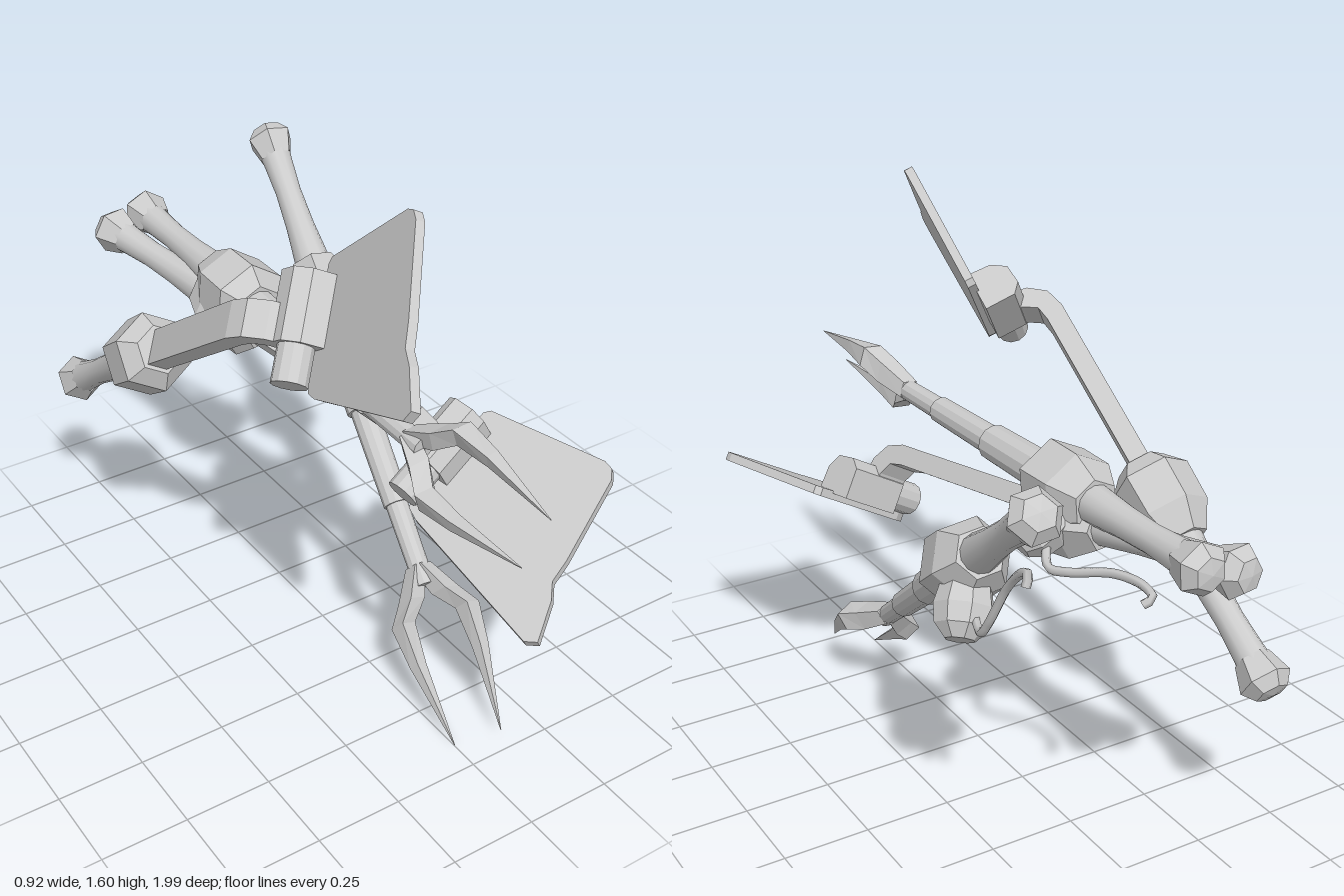
import * as THREE from 'three';

const smooth = new THREE.MeshStandardMaterial({ color: 0xcccccc, side: THREE.DoubleSide });
const flat = new THREE.MeshStandardMaterial({ color: 0xcccccc, flatShading: true, side: THREE.DoubleSide });
const V = (x, y, z) => new THREE.Vector3(x, y, z);

function add(group, name, geometry, material = flat) {
  const mesh = new THREE.Mesh(geometry, material);
  mesh.name = name;
  group.add(mesh);
  return mesh;
}

// Solid of revolution about the tool axis from [radius, height] pairs
const turned = (profile, sides) =>
  new THREE.LatheGeometry(profile.map(([r, y]) => new THREE.Vector2(r, y)), sides);

// Every tool is built along local +y with its hub at the origin
function makeGrip(group) {
  add(group, 'handle', turned([[0.052, -0.565], [0.044, -0.48], [0.039, -0.38],
    [0.043, -0.26], [0.056, -0.1]], 12), smooth);
  add(group, 'handleEnd', turned([[0, -0.612], [0.045, -0.605], [0.072, -0.57], [0.05, -0.5]], 6));
  add(group, 'hub', turned([[0, -0.13], [0.068, -0.13], [0.112, -0.05], [0.115, 0.07],
    [0.07, 0.12], [0, 0.12]], 6));
}

// Prong: diamond cross-sections [height, centre, half width, half depth], tip first
function makeProng(side) {
  const rings = [[1.37, 0.067, 0.001, 0.001], [1.13, 0.092, 0.024, 0.026],
    [1.01, 0.095, 0.035, 0.044], [0.95, 0.05, 0.04, 0.044], [0.86, 0.008, 0.03, 0.034]];
  const g = new THREE.CylinderGeometry(1, 1, 1, 4, rings.length - 1);
  const p = g.attributes.position;
  for (let i = 0; i < p.count; i++) {
    const row = Math.round((0.5 - p.getY(i)) * (rings.length - 1));
    const [h, c, w, d] = rings[row];
    p.setXYZ(i, side * c + p.getX(i) * w, h, p.getZ(i) * d);
  }
  g.computeVertexNormals();
  return g;
}

function makeFork() {
  const g = new THREE.Group();
  makeGrip(g);
  // Telescoping shaft
  [[0.056, 0.06, 0.37], [0.042, 0.36, 0.67], [0.033, 0.66, 0.92]].forEach(([r, a, b], i) => {
    add(g, 'shaft' + (i + 1), turned([[0, a], [r, a], [r, a], [r * 0.92, b], [r * 0.92, b], [0, b]], 12), flat);
  });
  add(g, 'leftProng', makeProng(1));
  add(g, 'rightProng', makeProng(-1));
  // Side knob and the thin hooked wire running back from it
  const knob = turned([[0, 0.03], [0.06, 0.03], [0.08, 0.12], [0.072, 0.17], [0.04, 0.205], [0, 0.205]], 8);
  add(g, 'sideKnob', knob.rotateX(Math.PI / 2).translate(0, -0.03, 0));
  const path = new THREE.CatmullRomCurve3([[-0.05, 0.13], [-0.15, 0.2], [-0.21, 0.185], [-0.34, 0.12],
    [-0.45, 0.105], [-0.5, 0.12], [-0.49, 0.145]].map(([d, k]) => V(-0.02, d, k)));
  add(g, 'hookWire', new THREE.TubeGeometry(path, 28, 0.012, 6), smooth);
  return g;
}

function makeShovel() {
  const g = new THREE.Group();
  makeGrip(g);
  // Flat arm that bends towards the blade
  const arm = new THREE.Shape([[0.05, -0.028], [0.65, -0.028], [0.71, -0.012], [0.75, 0.035], [0.77, 0.13],
    [0.715, 0.13], [0.7, 0.07], [0.675, 0.035], [0.63, 0.028], [0.05, 0.028]]
    .map(([d, n]) => new THREE.Vector2(d, n)));
  const armGeo = new THREE.ExtrudeGeometry(arm, { depth: 0.1, bevelEnabled: false });
  armGeo.applyMatrix4(new THREE.Matrix4().makeBasis(V(0, 1, 0), V(0, 0, 1), V(1, 0, 0)));
  add(g, 'arm', armGeo.translate(-0.05, 0, 0));
  // Clasp with angled shoulders, and the hinge pin through it
  const claspShape = new THREE.Shape([[0.7, 0.08], [0.73, 0.055], [0.79, 0.06], [0.82, 0.1],
    [0.825, 0.17], [0.7, 0.17]].map(([d, n]) => new THREE.Vector2(d, n)));
  const clasp = new THREE.ExtrudeGeometry(claspShape, { depth: 0.19, bevelEnabled: false });
  clasp.applyMatrix4(new THREE.Matrix4().makeBasis(V(0, 1, 0), V(0, 0, 1), V(1, 0, 0)));
  add(g, 'clasp', clasp.translate(-0.05, 0, 0));
  const pin = new THREE.CylinderGeometry(0.048, 0.048, 0.24, 12).rotateZ(Math.PI / 2);
  add(g, 'hingePin', pin.translate(-0.03, 0.765, 0.115));
  // Broad notched blade
  const outline = [[-0.125, 0.763], [0.18, 0.763], [0.196, 0.778], [0.244, 1.141], [0.236, 1.17],
    [0.208, 1.19], [-0.04, 1.237], [-0.106, 1.243], [-0.15, 1.275], [-0.258, 1.318],
    [-0.277, 1.287], [-0.177, 0.818], [-0.16, 0.78]];
  const blade = new THREE.Shape(outline.map(([w, d]) => new THREE.Vector2(w, d)));
  const bladeGeo = new THREE.ExtrudeGeometry(blade, { depth: 0.025, bevelEnabled: false });
  add(g, 'blade', bladeGeo.translate(0, 0, 0.163));
  return g;
}

// Places a tool by its hub, its long axis and its sideways direction
function place(tool, name, hub, axis, across) {
  const d = axis.clone().normalize();
  const w = across.clone().addScaledVector(d, -across.dot(d)).normalize();
  const n = new THREE.Vector3().crossVectors(w, d);
  tool.quaternion.setFromRotationMatrix(new THREE.Matrix4().makeBasis(w, d, n));
  tool.position.copy(hub);
  tool.name = name;
  return tool;
}

export function createModel() {
  const model = new THREE.Group();
  model.name = 'toolSet';
  model.add(
    place(makeFork(), 'levelFork', V(-0.041, 0.968, -0.385), V(-0.012, -0.055, 1.98), V(0.074, 0.11, 0)),
    place(makeFork(), 'loweredFork', V(0.27, 0.836, -0.395), V(-0.3, -1.16, 1.555), V(0.12, 0.035, 0.05)),
    place(makeShovel(), 'raisedShovel', V(-0.35, 0.853, -0.383), V(0, 0.564, 0.826), V(0.518, 0.7, -0.488)),
    place(makeShovel(), 'levelShovel', V(-0.04, 0.9, -0.4), V(0.186, -0.088, 0.978), V(0.852, 0.511, -0.114)),
  );
  return model;
}
